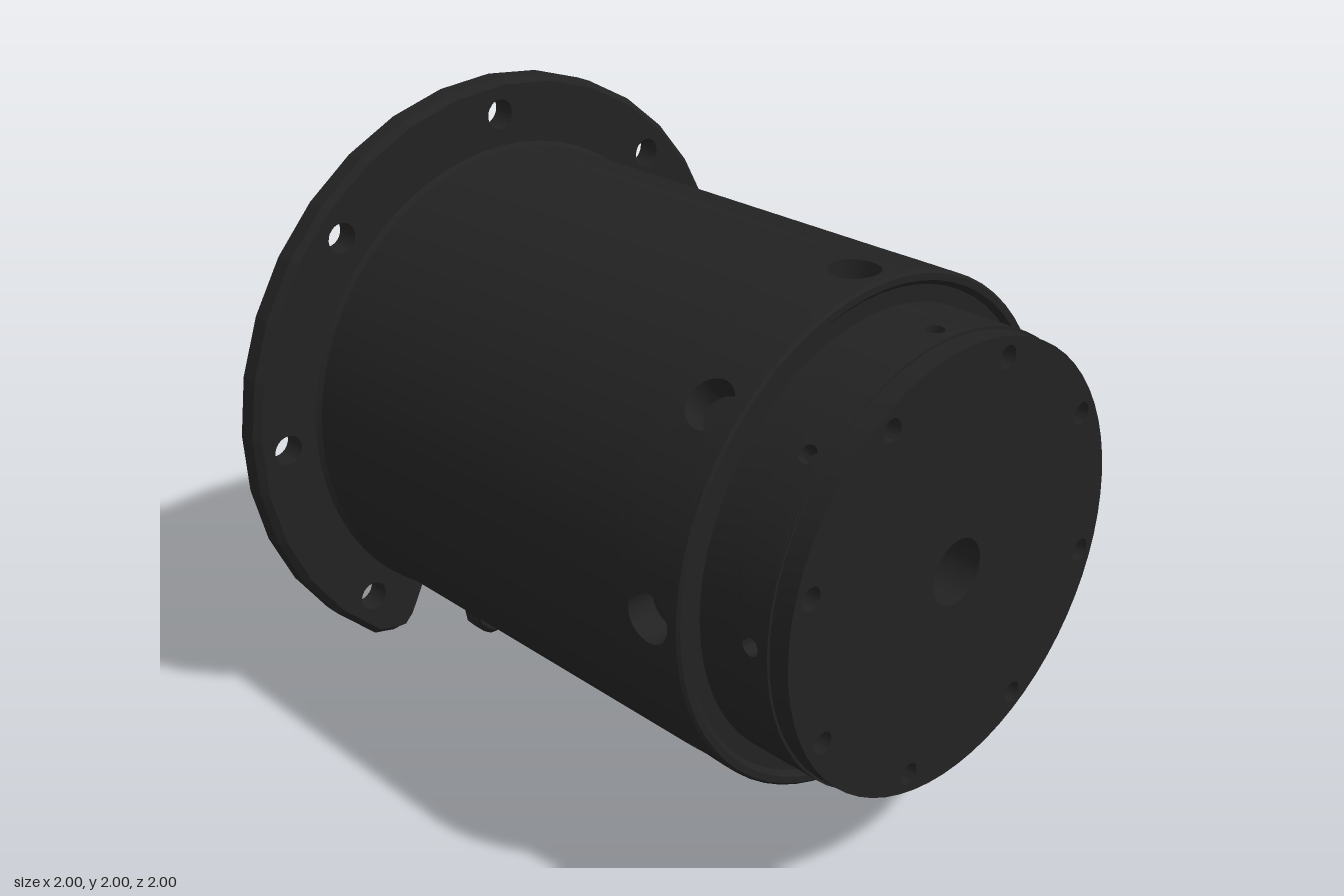
import * as THREE from 'three';
import { toCreasedNormals } from 'three/addons/utils/BufferGeometryUtils.js';

const black = new THREE.MeshStandardMaterial({ color: 0x222222, side: THREE.DoubleSide });
black.name = 'matte black';
const rad = THREE.MathUtils.degToRad;

function add(group, name, geometry, z = 0, crease = 0.5) {
  const mesh = new THREE.Mesh(toCreasedNormals(geometry, crease), black);
  mesh.name = name;
  mesh.position.z = z;
  group.add(mesh);
}

// Turned part about the z axis from [radius, z] pairs
function turned(points, segments = 64) {
  const g = new THREE.LatheGeometry(points.map(([r, z]) => new THREE.Vector2(r, z)), segments);
  return g.rotateX(Math.PI / 2);
}

// Round holes spaced 45 degrees apart on a bolt circle
function boltHoles(shape, circle, r, startDeg) {
  for (let i = 0; i < 8; i++) {
    const a = rad(startDeg + i * 45);
    const hole = new THREE.Path();
    hole.absarc(circle * Math.cos(a), circle * Math.sin(a), r, 0, Math.PI * 2, true);
    shape.holes.push(hole);
  }
}

// Cylindrical band with eight blind radial holes: each sector is a grid
// running from the hole floor, up its wall, and out to the sector border
function drilledBand(R, z0, z1, zHole, rHole, depth) {
  const N = 32, ramp = 4, rows = ramp + 3;
  const pos = [], index = [];
  const corners = [[1, -1], [1, 1], [-1, 1], [-1, -1]];
  for (let k = 0; k < 8; k++) {
    const base = pos.length / 3;
    for (let j = 0; j < rows; j++) {
      for (let i = 0; i <= N; i++) {
        const a = (i / N) * Math.PI * 2 - Math.PI / 4;
        const side = Math.floor(i / 8) % 4, f = (i % 8) / 8;
        const c = corners[side], d = corners[(side + 1) % 4];
        const bu = (c[0] + (d[0] - c[0]) * f) * Math.PI / 8;
        const bz = (z0 + z1) / 2 + (c[1] + (d[1] - c[1]) * f) * (z1 - z0) / 2;
        const size = j === 0 ? 0 : rHole;
        const t = Math.max(0, j - 2) / ramp;
        const hu = size * Math.cos(a) / R, hz = zHole + size * Math.sin(a);
        const u = hu + (bu - hu) * t + k * Math.PI / 4;
        const r = j < 2 ? R - depth : R;
        pos.push(r * Math.cos(u), r * Math.sin(u), hz + (bz - hz) * t);
      }
    }
    for (let j = 0; j < rows - 1; j++) {
      for (let i = 0; i < N; i++) {
        const p = base + j * (N + 1) + i, q = p + N + 1;
        if (j > 0) index.push(p, q, p + 1);
        index.push(p + 1, q, q + 1);
      }
    }
  }
  const g = new THREE.BufferGeometry();
  g.setAttribute('position', new THREE.Float32BufferAttribute(pos, 3));
  g.setIndex(index);
  g.computeVertexNormals();
  return g;
}

// Mounting flange outline with the rounded notch at the lower right side
function flangeGeometry() {
  const pts = [];
  for (let i = 0; i <= 30; i++) {
    const a = rad(-98 + (329.5 * i) / 30);
    pts.push(new THREE.Vector2(Math.cos(a), Math.sin(a)));
  }
  [[-0.59, -0.79], [-0.55, -0.8], [-0.51, -0.785], [-0.48, -0.755], [-0.42, -0.64]]
    .forEach(([x, y]) => pts.push(new THREE.Vector2(x, y)));
  for (let i = 0; i <= 6; i++) {
    const a = rad(238 + (20 * i) / 6);
    pts.push(new THREE.Vector2(0.768 * Math.cos(a), 0.768 * Math.sin(a)));
  }
  [[-0.19, -0.82], [-0.205, -0.88], [-0.195, -0.94], [-0.17, -0.97]]
    .forEach(([x, y]) => pts.push(new THREE.Vector2(x, y)));
  const shape = new THREE.Shape(pts);
  boltHoles(shape, 0.888, 0.048, 0);
  const g = new THREE.ExtrudeGeometry(shape, { depth: 0.08, steps: 4, bevelEnabled: false, curveSegments: 12 });
  // Chamfer the outer front edge
  const p = g.attributes.position;
  for (let i = 0; i < p.count; i++) {
    if (p.getZ(i) > 0.079 && Math.hypot(p.getX(i), p.getY(i)) > 0.95) {
      p.setXY(i, p.getX(i) * 0.98, p.getY(i) * 0.98);
    }
  }
  return g;
}

export function createModel() {
  const model = new THREE.Group();
  model.name = 'flangedHousing';
  model.position.y = 1;

  add(model, 'mountingFlange', flangeGeometry(), -1, 0.12);

  // Main barrel
  add(model, 'barrel', turned([[0.785, -0.92], [0.773, -0.905], [0.773, 0.45]]));
  add(model, 'barrelDrilledBand', drilledBand(0.773, 0.45, 0.697, 0.59, 0.075, 0.09));
  add(model, 'barrelRim', turned([[0.773, 0.697], [0.765, 0.705], [0.745, 0.705], [0.73, 0.69], [0.68, 0.69]]));

  // Narrower front cap
  add(model, 'cap', turned([[0.68, 0.69], [0.68, 0.79]]));
  add(model, 'capDrilledBand', drilledBand(0.68, 0.79, 0.935, 0.875, 0.027, 0.05));
  add(model, 'capStep', turned([[0.68, 0.935], [0.672, 0.935]]));

  // Front plate with screw holes and a central bore
  const face = new THREE.Shape();
  face.absarc(0, 0, 0.672, 0, Math.PI * 2, false);
  boltHoles(face, 0.612, 0.034, 30);
  const center = new THREE.Path();
  center.absarc(0, 0, 0.1, 0, Math.PI * 2, true);
  face.holes.push(center);
  add(model, 'frontPlate', new THREE.ExtrudeGeometry(face, { depth: 0.07, bevelEnabled: false, curveSegments: 32 }), 0.93);
  add(model, 'screwHoleFloor', new THREE.RingGeometry(0.1, 0.67, 64), 0.932);
  add(model, 'centerBore', turned([[0.1, 0.932], [0.1, 0.8], [0, 0.8]], 32));

  const root = new THREE.Group();
  root.name = 'model';
  root.add(model);
  return root;
}
